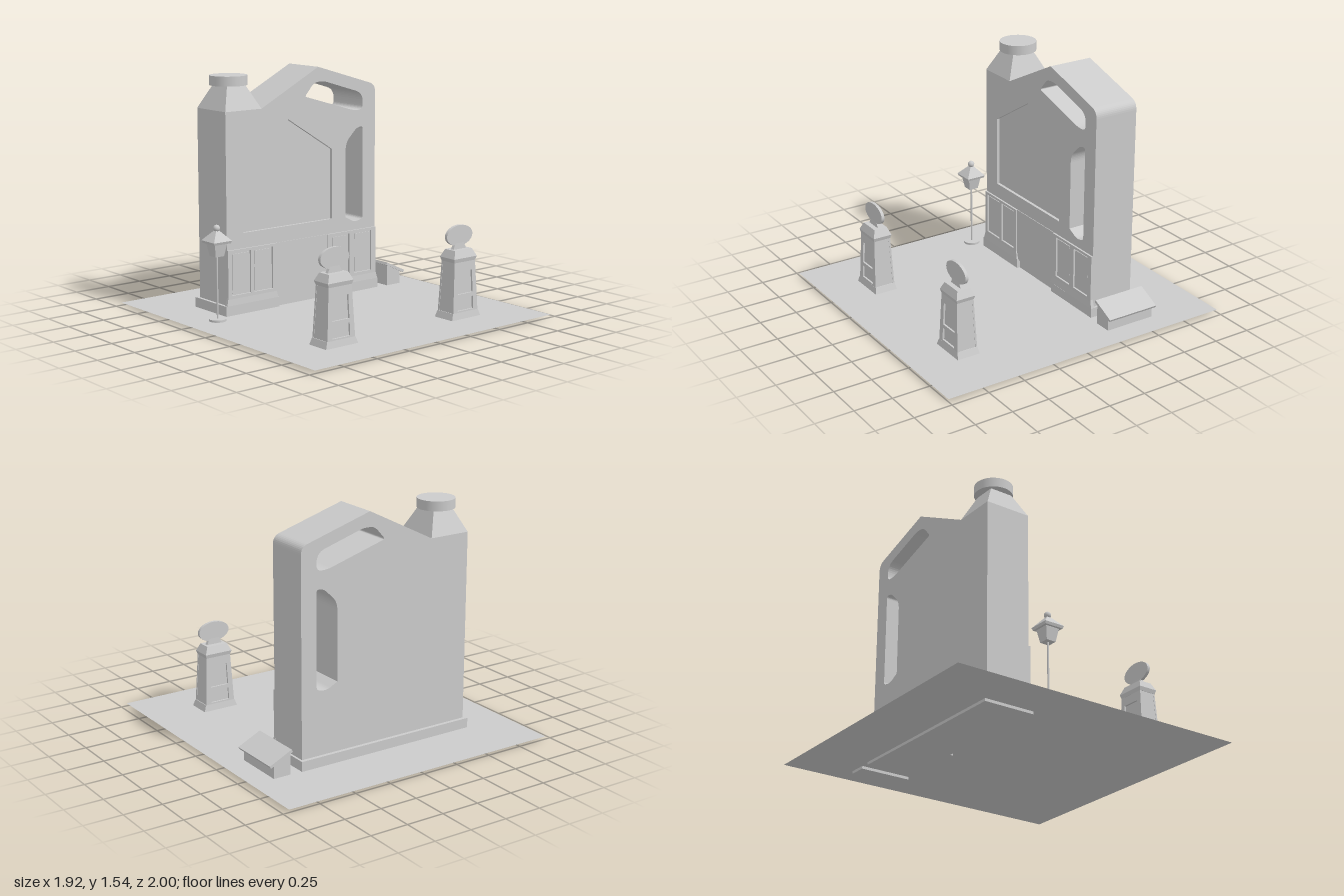
import * as THREE from 'three';

const grey = new THREE.MeshStandardMaterial({ color: 0xcccccc, side: THREE.DoubleSide });

function add(parent, name, geometry, x = 0, y = 0, z = 0) {
  const mesh = new THREE.Mesh(geometry, grey);
  mesh.name = name;
  mesh.position.set(x, y, z);
  parent.add(mesh);
  return mesh;
}

// Trace a closed polygon of [x, y, cornerRadius] points
function trace(path, points) {
  const n = points.length;
  points.forEach(([x, y, r = 0], i) => {
    const p = new THREE.Vector2(x, y);
    const toward = (q) => new THREE.Vector2(q[0], q[1]).sub(p).setLength(r).add(p);
    const a = toward(points[(i + n - 1) % n]);
    const b = toward(points[(i + 1) % n]);
    if (i === 0) path.moveTo(a.x, a.y);
    else path.lineTo(a.x, a.y);
    if (r > 0) path.quadraticCurveTo(x, y, b.x, b.y);
  });
  path.closePath();
  return path;
}

// Flat plate from z0 to z1, with optional holes
function plate(points, z0, z1, holes = []) {
  const shape = trace(new THREE.Shape(), points);
  shape.holes = holes.map((h) => trace(new THREE.Path(), h));
  return new THREE.ExtrudeGeometry(shape, { depth: z1 - z0, bevelEnabled: false, curveSegments: 8 })
    .translate(0, 0, z0);
}

const rect = (x0, y0, x1, y1) => [[x0, y0], [x1, y0], [x1, y1], [x0, y1]];

// Box whose half sizes differ at the bottom (y0) and the top (y1)
function taperedBox(hx0, hz0, hx1, hz1, y0, y1) {
  const g = new THREE.BoxGeometry(2, y1 - y0, 2).translate(0, (y0 + y1) / 2, 0).toNonIndexed();
  const p = g.attributes.position;
  for (let i = 0; i < p.count; i++) {
    const top = p.getY(i) > (y0 + y1) / 2;
    p.setX(i, p.getX(i) * (top ? hx1 : hx0));
    p.setZ(i, p.getZ(i) * (top ? hz1 : hz0));
  }
  g.computeVertexNormals();
  return g;
}

function makeBuilding() {
  const g = new THREE.Group();
  g.name = 'jugBuilding';

  // Jug-shaped body with two handle openings and a recessed gabled panel
  const outline = [
    [-0.63, 0.07], [0.597, 0.07], [0.597, 1.4, 0.05], [0.11, 1.545], [-0.35, 1.31], [-0.63, 1.31],
  ];
  const topOpening = [
    [0.0, 1.36, 0.015], [0.41, 1.24, 0.03], [0.49, 1.24, 0.04], [0.488, 1.35, 0.06],
    [0.13, 1.458, 0.06], [0.07, 1.44, 0.03],
  ];
  const sideOpening = [
    [0.342, 0.53], [0.42, 0.49, 0.03], [0.49, 0.505, 0.02], [0.49, 1.128, 0.02],
    [0.44, 1.125, 0.03], [0.342, 1.03, 0.05],
  ];
  const gable = [[-0.5, 0.535], [0.225, 0.535], [0.225, 1.0], [-0.137, 1.225], [-0.5, 1.0]];
  add(g, 'body', plate(outline, -0.578, -0.298, [topOpening, sideOpening]));
  add(g, 'bodyFront', plate(outline, -0.298, -0.278, [topOpening, sideOpening, gable]));

  // Neck and cap
  add(g, 'neck', taperedBox(0.14, 0.15, 0.07, 0.075, 1.31, 1.46), -0.49, 0, -0.428);
  add(g, 'cap', new THREE.CylinderGeometry(0.12, 0.12, 0.062, 32), -0.49, 1.489, -0.435);

  // Plinth, notched at the door (plan drawn as x, -z)
  const plan = [
    [-0.65, 0.262], [-0.23, 0.262], [-0.23, 0.284], [0.168, 0.284],
    [0.168, 0.262], [0.612, 0.262], [0.612, 0.602], [-0.65, 0.602],
  ];
  add(g, 'plinth', plate(plan, 0, 0.082).rotateX(-Math.PI / 2));

  // Door and the two shop windows with sloping sills
  add(g, 'door', plate(rect(-0.25, 0.08, 0.177, 0.437), -0.278, -0.274));
  for (const [x0, x1] of [[-0.63, -0.25], [0.177, 0.597]]) {
    const mid = (x0 + x1) / 2;
    const half = (x1 - x0) / 2;
    const panes = [-1, 1].map((s) => {
      const c = mid + s * half * 0.46;
      return rect(c - 0.075, 0.145, c + 0.075, 0.42);
    });
    add(g, 'windowFrame', plate(rect(x0, 0.08, x1, 0.437), -0.278, -0.266, panes));
    for (const p of panes) {
      const inner = rect(p[0][0] + 0.01, p[0][1] + 0.01, p[2][0] - 0.01, p[2][1] - 0.01);
      add(g, 'windowPane', plate(inner, -0.278, -0.273));
    }
    add(g, 'sill', taperedBox(half + 0.014, 0.013, half, 0.008, 0.08, 0.135), mid, 0, -0.275);
  }
  return g;
}

function makePillar(x) {
  const g = new THREE.Group();
  g.name = 'signPillar';
  g.position.set(x, 0, 0.644);
  add(g, 'foot', taperedBox(0.123, 0.078, 0.108, 0.07, 0.018, 0.06));
  add(g, 'shaft', taperedBox(0.104, 0.058, 0.086, 0.046, 0.05, 0.39));

  // Framed faces, leaned to follow the tapered shaft
  const frame = plate(
    [[-0.106, 0.055], [0.106, 0.055], [0.088, 0.385], [-0.088, 0.385]], -0.012, 0,
    [
      [[-0.068, 0.07], [0.068, 0.07], [0.066, 0.15], [-0.066, 0.15]],
      [[-0.065, 0.175], [0.065, 0.175], [0.06, 0.32], [-0.06, 0.32]],
    ],
  );
  const p = frame.attributes.position;
  for (let i = 0; i < p.count; i++) p.setZ(i, p.getZ(i) + 0.07 - (p.getY(i) - 0.055) * 0.036);
  frame.computeVertexNormals();
  add(g, 'frontFrame', frame);
  add(g, 'backFrame', frame).rotation.y = Math.PI;

  // Collar, sloping cap and oval sign
  add(g, 'collar', taperedBox(0.089, 0.059, 0.097, 0.065, 0.378, 0.403));
  add(g, 'pillarCap', taperedBox(0.097, 0.065, 0.073, 0.045, 0.403, 0.452));
  add(g, 'signNeck', taperedBox(0.055, 0.012, 0.035, 0.01, 0.452, 0.49));
  const sign = new THREE.CylinderGeometry(1, 1, 0.02, 40).rotateX(Math.PI / 2);
  add(g, 'ovalSign', sign.scale(0.11, 0.066, 1), 0, 0.537, 0);
  return g;
}

function makeLamp() {
  const g = new THREE.Group();
  g.name = 'streetLamp';
  g.position.set(-0.745, 0, -0.225);
  add(g, 'lampFoot', new THREE.CylinderGeometry(0.055, 0.055, 0.014, 24), 0, 0.025, 0);
  add(g, 'pole', new THREE.CylinderGeometry(0.006, 0.006, 0.41, 10), 0, 0.23, 0);
  add(g, 'lantern', taperedBox(0.032, 0.032, 0.048, 0.048, 0.43, 0.518));
  add(g, 'lanternEave', taperedBox(0.062, 0.062, 0.068, 0.068, 0.512, 0.528));
  add(g, 'lanternRoof', taperedBox(0.068, 0.068, 0.012, 0.012, 0.528, 0.59));
  add(g, 'finial', new THREE.SphereGeometry(0.022, 16, 12), 0, 0.605, 0);
  return g;
}

function makeBin() {
  const g = new THREE.Group();
  g.name = 'slopedBin';
  add(g, 'binBox', plate([[0.69, 0], [0.806, 0], [0.806, 0.11], [0.69, 0.16]], -0.594, -0.252));
  add(g, 'binLid', plate([[0.676, 0.163], [0.83, 0.092], [0.838, 0.107], [0.684, 0.18]], -0.602, -0.242));
  return g;
}

export function createModel() {
  const model = new THREE.Group();
  model.name = 'jugShopScene';
  add(model, 'groundSheet', new THREE.PlaneGeometry(1.922, 2).rotateX(-Math.PI / 2), 0, 0.018, 0);
  model.add(makeBuilding(), makePillar(-0.528), makePillar(0.488), makeLamp(), makeBin());
  return model;
}
